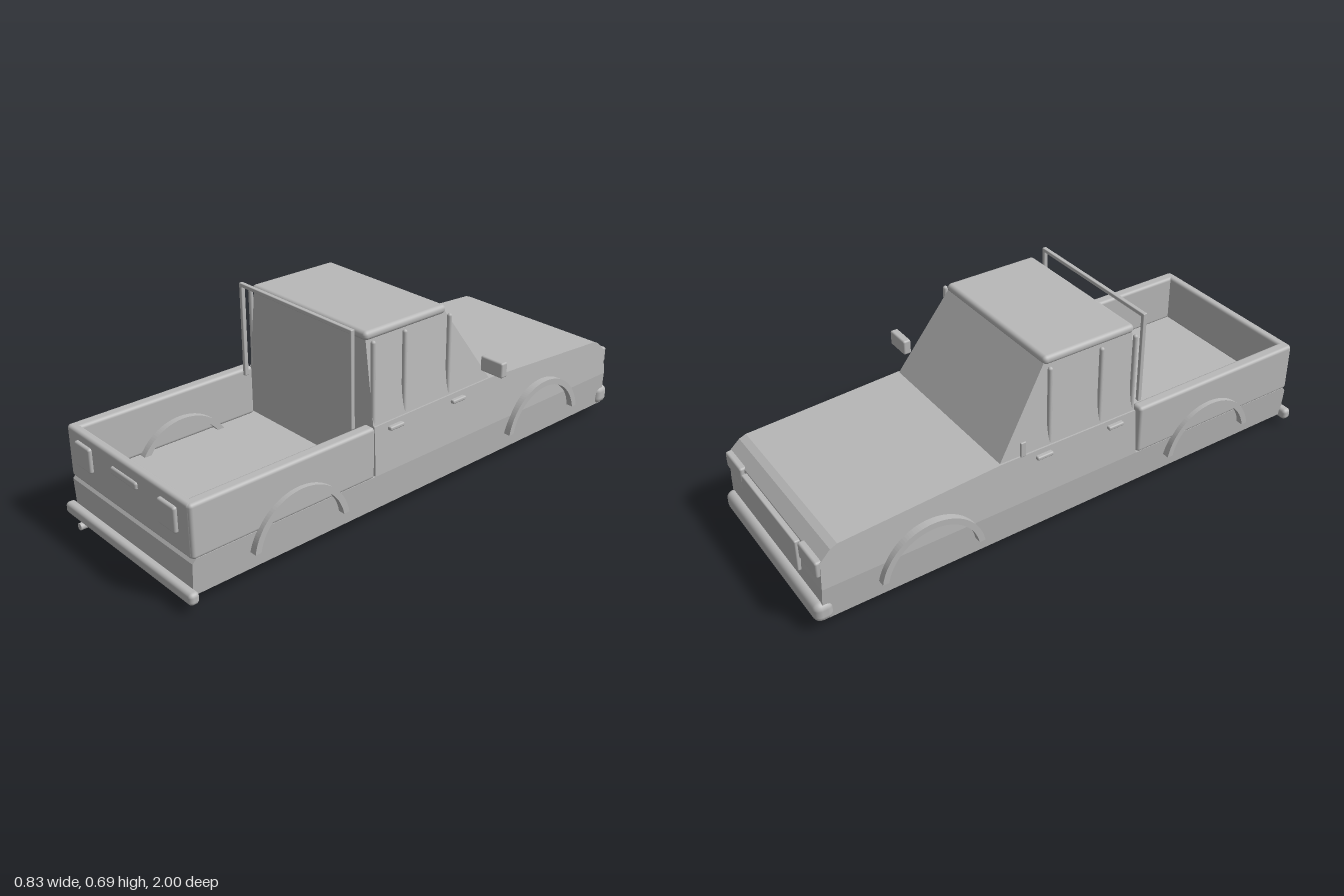
import * as THREE from 'three';
import { RoundedBoxGeometry } from 'three/addons/geometries/RoundedBoxGeometry.js';

export function createModel() {
  const model = new THREE.Group();
  model.name = 'pickupTruck';
  // the body sits slightly off centre because of the mirrors
  const truck = new THREE.Group();
  truck.name = 'truck';
  truck.position.x = -0.025;
  model.add(truck);

  const grey = new THREE.MeshStandardMaterial({ color: 0xb8b8b8 });
  grey.name = 'grey';

  const add = (name, geometry) => {
    const mesh = new THREE.Mesh(geometry, grey);
    mesh.name = name;
    truck.add(mesh);
    return mesh;
  };

  // rounded block given by its extents on each axis
  const block = (name, [x0, x1], [y0, y1], [z0, z1], r = 0.008) => {
    const size = [x1 - x0, y1 - y0, z1 - z0];
    const g = new RoundedBoxGeometry(...size, 3, Math.min(r, Math.min(...size) * 0.49));
    return add(name, g.translate((x0 + x1) / 2, (y0 + y1) / 2, (z0 + z1) / 2));
  };

  // side profile of [z, y] points extruded across x, half width changing with height
  const hull = (name, points, [yLow, wLow], [yHigh, wHigh]) => {
    const shape = new THREE.Shape(points.map(([z, y]) => new THREE.Vector2(-z, y)));
    const g = new THREE.ExtrudeGeometry(shape, { depth: 2, bevelEnabled: false });
    g.translate(0, 0, -1).rotateY(Math.PI / 2);
    const p = g.attributes.position;
    for (let i = 0; i < p.count; i++) {
      const t = (p.getY(i) - yLow) / (yHigh - yLow);
      p.setX(i, p.getX(i) * THREE.MathUtils.lerp(wLow, wHigh, t));
    }
    g.computeVertexNormals();
    return add(name, g);
  };

  // lower body, hood with cab base, and cabin
  hull('lowerBody',
    [[0.96, 0.04], [0.968, 0.06], [0.968, 0.155], [0.955, 0.17], [-0.965, 0.17], [-0.97, 0.04]],
    [0.04, 0.332], [0.17, 0.342]);
  hull('hoodAndCabBase',
    [[0.245, 0.17], [0.24, 0.345], [-0.31, 0.35], [-0.895, 0.316], [-0.92, 0.306], [-0.958, 0.27], [-0.965, 0.17]],
    [0.17, 0.342], [0.35, 0.33]);
  hull('cabin',
    [[0.24, 0.34], [0.24, 0.65], [-0.11, 0.65], [-0.312, 0.345]],
    [0.34, 0.325], [0.65, 0.285]);
  block('roof', [-0.294, 0.294], [0.633, 0.665], [-0.118, 0.247], 0.015);

  // cargo bed walls
  for (const s of [-1, 1]) {
    block('bedSide', s > 0 ? [0.3, 0.345] : [-0.345, -0.3], [0.168, 0.354], [0.25, 0.968], 0.012);
  }
  block('tailgate', [-0.34, 0.34], [0.168, 0.354], [0.935, 0.97], 0.012);

  // bumpers and exhaust
  block('tailBumper', [-0.362, 0.363], [0.027, 0.069], [0.962, 0.998], 0.014);
  block('hoodBumper', [-0.345, 0.345], [0.04, 0.112], [-0.996, -0.93], 0.024);
  const exhaust = new THREE.CylinderGeometry(0.0125, 0.0125, 0.032, 20);
  add('exhaust', exhaust.rotateX(Math.PI / 2).translate(-0.272, 0.0125, 0.984));

  // tail details
  block('tailLight', [-0.28, -0.19], [0.235, 0.324], [0.95, 0.983]);
  block('tailLight', [0.192, 0.282], [0.235, 0.324], [0.95, 0.983]);
  block('tailgateHandle', [-0.072, 0.073], [0.288, 0.315], [0.955, 0.979]);

  // grille and headlights
  block('grille', [-0.2, 0.2], [0.145, 0.265], [-0.978, -0.94], 0.005);
  for (const s of [-1, 1]) {
    block('headlight', s > 0 ? [0.213, 0.335] : [-0.335, -0.213], [0.214, 0.275], [-0.975, -0.92]);
  }

  // wheel arches
  const start = 0.17;
  const arch = new THREE.Shape();
  arch.absarc(0, 0, 0.192, start, Math.PI - start, false);
  arch.absarc(0, 0, 0.17, Math.PI - start * 1.12, start * 1.12, true);
  const archGeometry = new THREE.ExtrudeGeometry(arch, { depth: 0.087, bevelEnabled: false, curveSegments: 28 });
  archGeometry.translate(0, 0, -0.0435).rotateY(Math.PI / 2);
  for (const z of [0.568, -0.583]) {
    for (const s of [-1, 1]) add('wheelArch', archGeometry).position.set(s * 0.3195, 0.071, z);
  }

  // window bars and door handles
  for (const s of [-1, 1]) {
    for (const z of [0.233, 0.095, -0.11]) {
      const bar = new THREE.CapsuleGeometry(0.0085, 0.283, 4, 12);
      add('windowBar', bar).position.set(s * 0.315, 0.492, z);
    }
    for (const z of [0.15, -0.143]) {
      const handle = new RoundedBoxGeometry(0.022, 0.014, 0.063, 3, 0.005);
      add('doorHandle', handle).position.set(s * 0.335, 0.323, z);
    }
  }

  // rack behind the cabin
  for (const s of [-1, 1]) {
    block('rackPost', [s * 0.281 - 0.007, s * 0.281 + 0.007], [0.34, 0.687], [0.286, 0.302], 0.003);
  }
  block('rackBar', [-0.288, 0.288], [0.673, 0.687], [0.286, 0.302], 0.003);

  // mirrors
  block('leftMirror', [0.338, 0.436], [0.4, 0.456], [-0.276, -0.246], 0.007);
  block('rightMirror', [-0.39, -0.382], [0.4, 0.456], [-0.272, -0.252], 0.003);

  return model;
}
